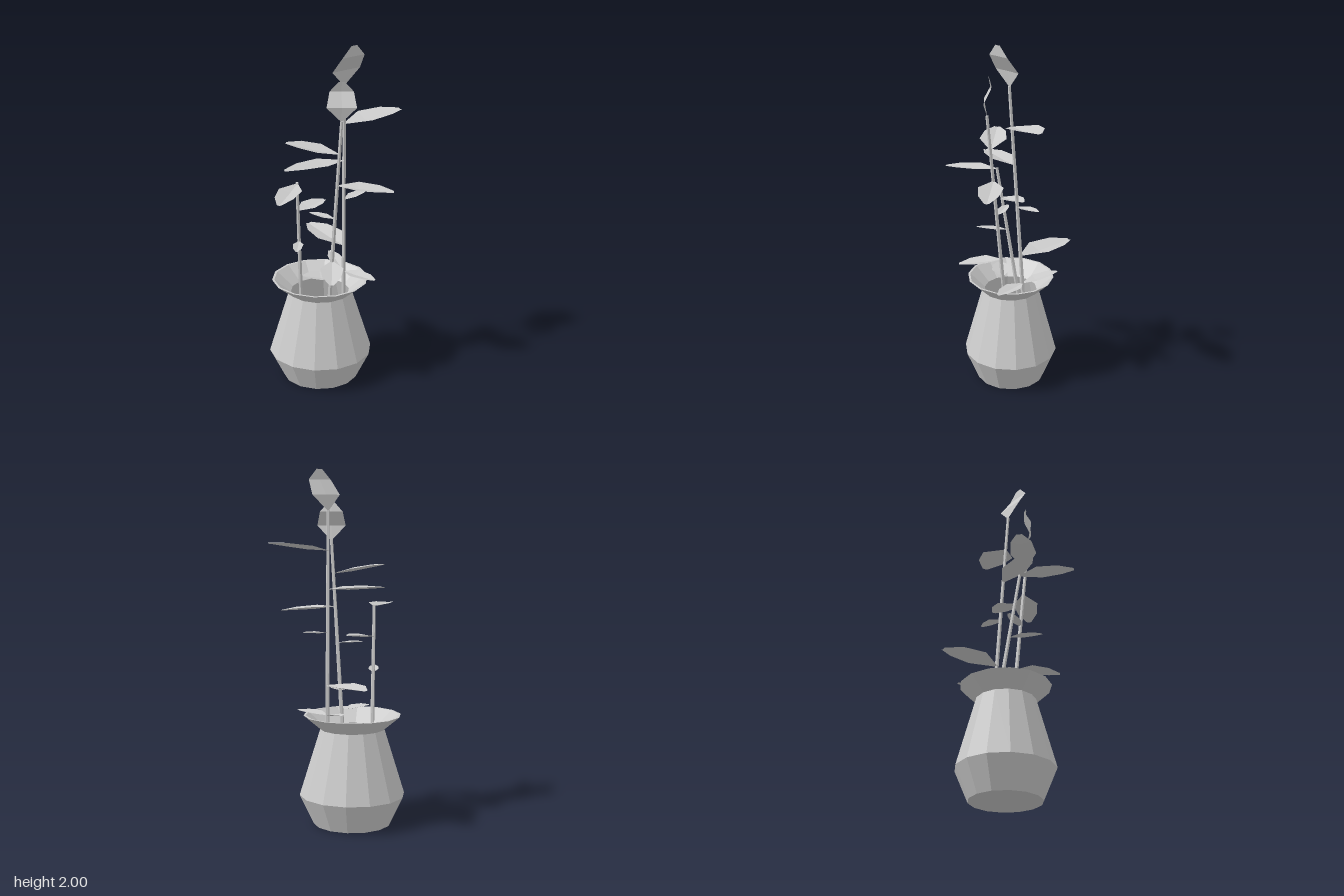
import * as THREE from 'three';

const material = new THREE.MeshStandardMaterial({ color: 0xcccccc, flatShading: true, side: THREE.DoubleSide });
const UP = new THREE.Vector3(0, 1, 0);
const ROWS = [0, 0.37, 0.74, 1];
const WIDTHS = [0.08, 1, 0.8, 0.2];

function add(parent, name, geometry) {
  const mesh = new THREE.Mesh(geometry, material);
  mesh.name = name;
  parent.add(mesh);
  return mesh;
}

// Blade of four rows, each with two edges and an offset midrib.
// reach(i) and rise(i) place row i along the heading and upward.
function blade(base, degrees, width, reach, rise, fold) {
  const angle = THREE.MathUtils.degToRad(degrees);
  const ahead = new THREE.Vector3(Math.cos(angle), 0, Math.sin(angle));
  const side = new THREE.Vector3().crossVectors(UP, ahead);
  const pos = [], index = [];
  WIDTHS.forEach((w, i) => {
    const c = base.clone().addScaledVector(ahead, reach(i)).addScaledVector(UP, rise(i));
    for (const s of [-0.5, 0, 0.5]) {
      const p = c.clone().addScaledVector(side, s * w * width);
      if (s === 0) p.addScaledVector(fold, w * width);
      pos.push(p.x, p.y, p.z);
    }
    for (let k = 0; i > 0 && k < 2; k++) {
      const a = i * 3 - 3 + k, b = a + 3;
      index.push(a, b, a + 1, a + 1, b, b + 1);
    }
  });
  const g = new THREE.BufferGeometry();
  g.setAttribute('position', new THREE.Float32BufferAttribute(pos, 3));
  g.setIndex(index);
  g.computeVertexNormals();
  return g;
}

// A stem with spreading leaves, each [height, heading, length, climb, width]
function growPlant(parent, name, from, to, leaves) {
  const plant = new THREE.Group();
  plant.name = name;
  parent.add(plant);

  const along = to.clone().sub(from);
  const stem = add(plant, 'stem', new THREE.CylinderGeometry(0.009, 0.014, along.length(), 5));
  stem.position.lerpVectors(from, to, 0.5);
  stem.quaternion.setFromUnitVectors(UP, along.clone().normalize());

  const fold = new THREE.Vector3(0, -0.12, 0);
  for (const [height, heading, length, climb, width] of leaves) {
    const joint = from.clone().lerp(to, (height - from.y) / along.y);
    const rise = (i) => climb * ROWS[i] + 0.3 * width * ROWS[i] * (1 - ROWS[i]);
    add(plant, 'leaf', blade(joint, heading, width, (i) => length * ROWS[i], rise, fold));
  }
  return plant;
}

// Upright folded leaf at a stem tip
function crown(plant, tip, heading, width, height, bends) {
  const fold = new THREE.Vector3(0, 0, -0.02);
  add(plant, 'topLeaf', blade(tip, heading, width, (i) => bends[i], (i) => height * ROWS[i], fold));
}

export function createModel() {
  const model = new THREE.Group();
  model.name = 'pottedPlant';

  // Faceted oval pot with a thin wall and a floor
  const outer = [[0.22, 0], [0.3, 0.17], [0.182, 0.55], [0.277, 0.63]].map(([r, y]) => new THREE.Vector2(r, y));
  const inner = outer.map((p) => new THREE.Vector2(p.x - 0.013, Math.max(p.y, 0.015))).reverse();
  const profile = [new THREE.Vector2(0, 0), ...outer, ...inner, new THREE.Vector2(0, 0.015)];
  const pot = add(model, 'pot', new THREE.LatheGeometry(profile, 14, THREE.MathUtils.degToRad(-83.5)));
  pot.scale.z = 0.9;
  pot.position.set(-0.08, 0, -0.018);

  const tallTip = new THREE.Vector3(0.055, 1.775, -0.01);
  const tall = growPlant(model, 'tallPlant', new THREE.Vector3(0.06, 0.02, -0.125), tallTip, [
    [1.555, -23, 0.34, 0.045, 0.19],
    [1.34, 153, 0.36, 0, 0.14],
    [1.1, -41, 0.17, 0.015, 0.07],
    [0.81, -126, 0.35, 0.02, 0.18],
    [0.64, 38, 0.22, 0.005, 0.1],
    [0.64, -112, 0.215, 0.04, 0.09],
  ]);
  crown(tall, tallTip, 51, 0.19, 0.225, [0, 0.017, 0.075, 0.08]);

  const middleTip = new THREE.Vector3(0.04, 1.61, 0.11);
  const middle = growPlant(model, 'middlePlant', new THREE.Vector3(-0.055, 0.02, -0.025), middleTip, [
    [1.42, 187, 0.29, 0.055, 0.15],
    [1.235, 6, 0.31, -0.025, 0.14],
    [1.03, 204, 0.155, 0.015, 0.06],
    [0.76, 91, 0.24, -0.03, 0.13],
    [0.65, 173, 0.16, 0.025, 0.11],
  ]);
  crown(middle, middleTip, 90, 0.16, 0.21, [0, 0.018, -0.022, -0.01]);

  const shortTip = new THREE.Vector3(-0.202, 1.245, 0.06);
  growPlant(model, 'shortPlant', new THREE.Vector3(-0.185, 0.02, -0.135), shortTip, [
    [1.24, 106, 0.31, -0.005, 0.13],
    [1.07, -39, 0.19, 0.02, 0.12],
    [0.87, 93, 0.18, 0.015, 0.06],
  ]);
  return model;
}
